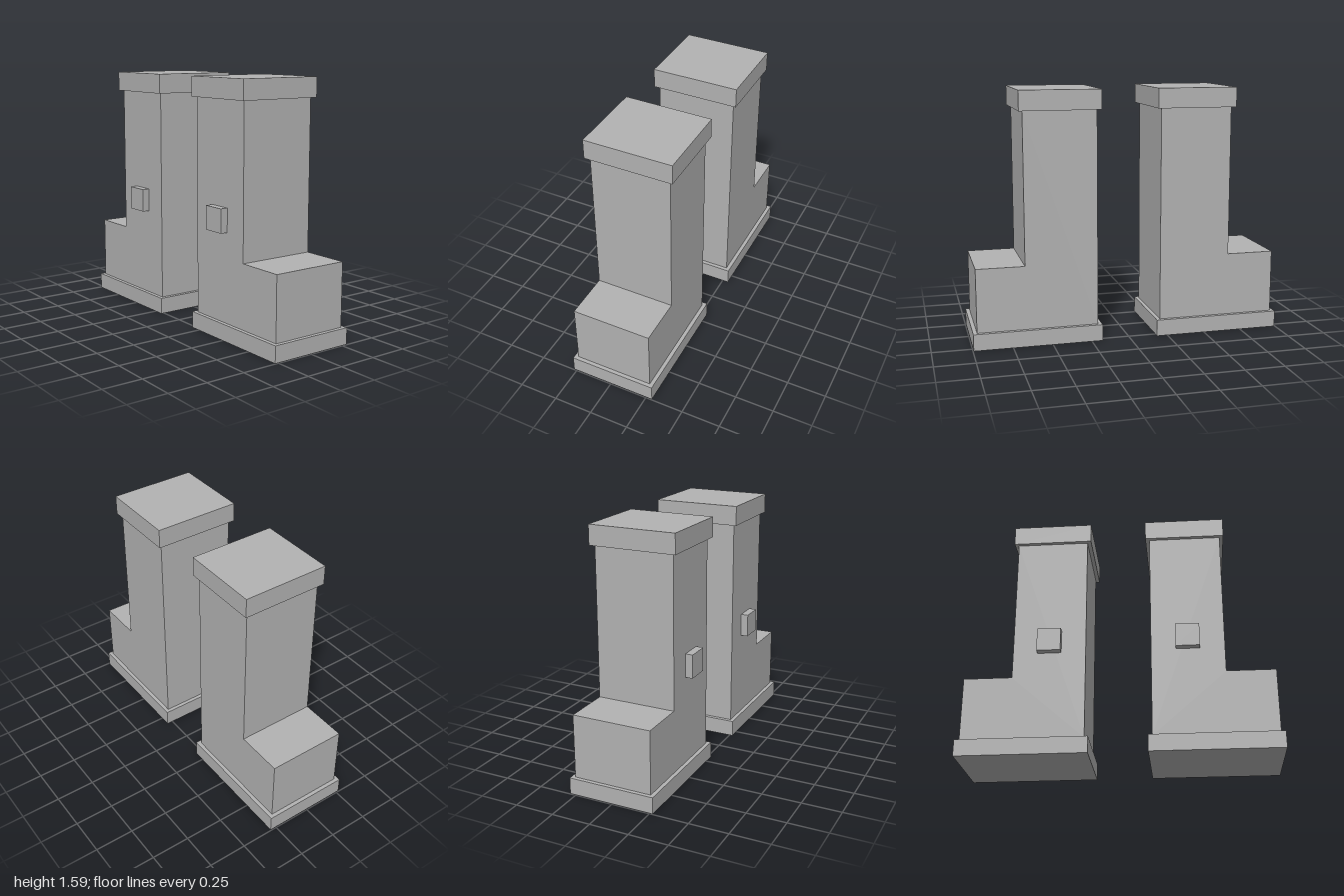
import * as THREE from 'three';

const stone = new THREE.MeshStandardMaterial({ color: 0xb2b2b2 });
stone.name = 'grey';

const Z_BACK = -0.265, Z_FRONT = 0.245, LIP = 0.025;

// Box from its min and max corners
function box(name, [x0, y0, z0], [x1, y1, z1]) {
  const geometry = new THREE.BoxGeometry(x1 - x0, y1 - y0, z1 - z0);
  const mesh = new THREE.Mesh(geometry, stone);
  mesh.position.set((x0 + x1) / 2, (y0 + y1) / 2, (z0 + z1) / 2);
  mesh.name = name;
  return mesh;
}

// One pillar; side is +1 for the left (+x), -1 for the right
function createPillar(side) {
  const pillar = new THREE.Group();
  pillar.name = side > 0 ? 'leftPillar' : 'rightPillar';

  // Mirror an x range while keeping min before max
  const slab = (name, x0, x1, y0, y1, z0, z1) => {
    const [a, b] = [x0 * side, x1 * side].sort((p, q) => p - q);
    pillar.add(box(name, [a, y0, z0], [b, y1, z1]));
  };

  // L-shaped shaft with a low step on the outer side
  const outline = [
    [0.205, 0.105], [0.97, 0.105], [0.97, 0.51],
    [0.665, 0.51], [0.665, 1.465], [0.205, 1.465],
  ].map(([x, y]) => new THREE.Vector2(x * side, y));
  const shaft = new THREE.Mesh(
    new THREE.ExtrudeGeometry(new THREE.Shape(outline), {
      depth: Z_FRONT - Z_BACK, bevelEnabled: false,
    }),
    stone,
  );
  shaft.position.z = Z_BACK;
  shaft.name = 'steppedShaft';
  pillar.add(shaft);

  // Base plinth, top cap and front block
  slab('base', 0.18, 0.995, 0, 0.105, Z_BACK - LIP, Z_FRONT + LIP);
  slab('cap', 0.18, 0.69, 1.465, 1.59, Z_BACK - LIP, Z_FRONT + LIP);
  slab('frontBlock', 0.36, 0.51, 0.67, 0.82, Z_FRONT, 0.293);
  return pillar;
}

export function createModel() {
  const model = new THREE.Group();
  model.name = 'gatePillars';
  for (const side of [1, -1]) model.add(createPillar(side));
  return model;
}
